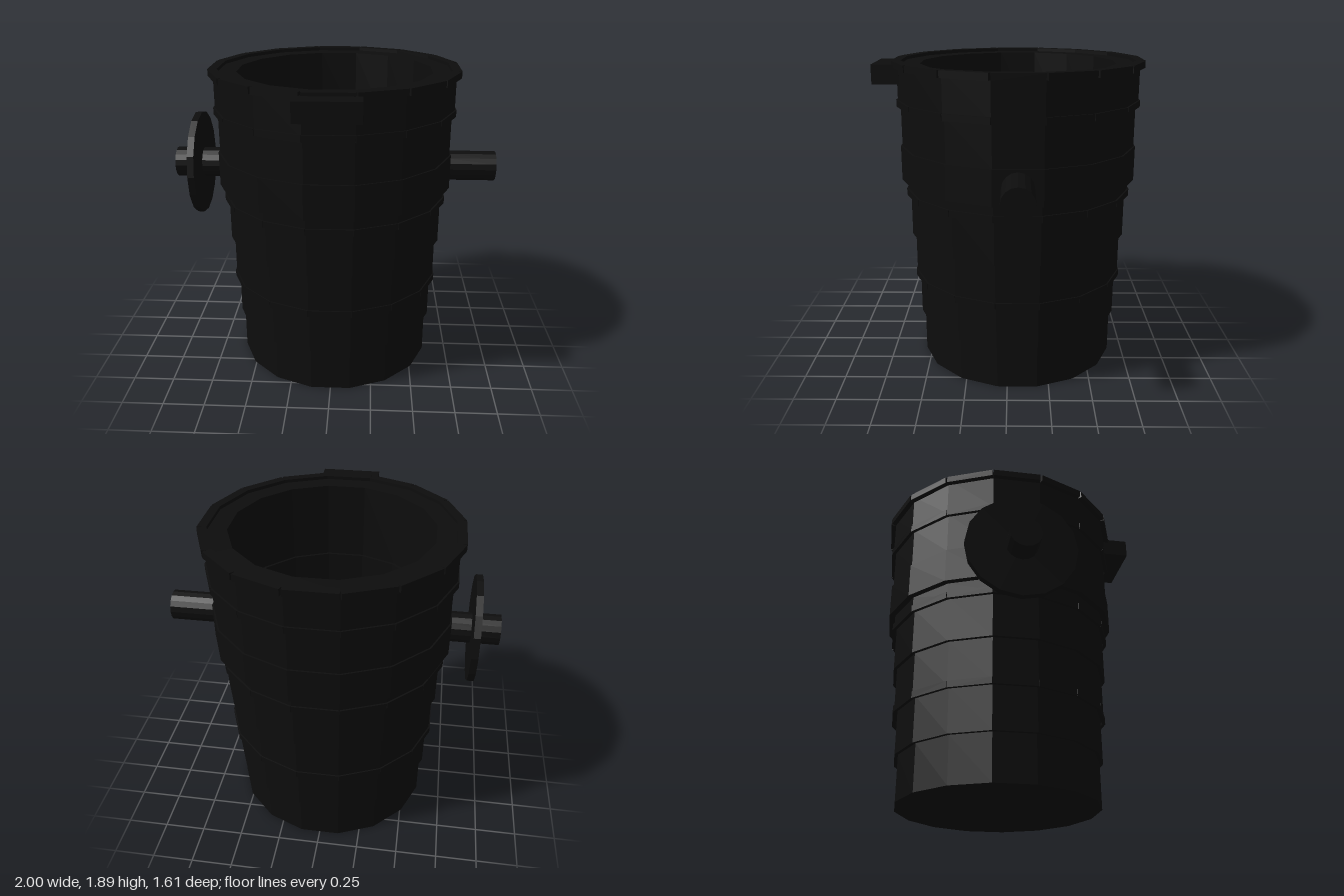
import * as THREE from 'three';

const SIDES = 16;
const HALF = Math.PI / SIDES;
const CENTER_Z = -0.06;
const AXLE_Y = 1.273;

export function createModel() {
  const group = new THREE.Group();
  const iron = new THREE.MeshStandardMaterial({ color: 0x0d0d0d, flatShading: true });
  iron.name = 'blackIron';

  const add = (name, geometry, x, y, z, parent = group) => {
    const mesh = new THREE.Mesh(geometry, iron);
    mesh.name = name;
    mesh.position.set(x, y, z);
    parent.add(mesh);
    return mesh;
  };

  // Stepped sixteen-sided shell with a hollow interior: [apothem, y]
  const profile = [
    [0, 0], [0.60, 0], [0.60, 0.275], [0.62, 0.275], [0.62, 0.55],
    [0.64, 0.55], [0.64, 0.81], [0.66, 0.81], [0.66, 1.09],
    [0.675, 1.09], [0.675, 1.17], [0.71, 1.17], [0.71, 1.38],
    [0.70, 1.38], [0.70, 1.64], [0.715, 1.64], [0.715, 1.89],
    [0.69, 1.89], [0.69, 1.87], [0.58, 1.87], [0.58, 1.40],
    [0.565, 1.40], [0.565, 0.81], [0.54, 0.81], [0.54, 0.10], [0, 0.10],
  ].map(([a, y]) => new THREE.Vector2(a / Math.cos(HALF), y));
  add('shell', new THREE.LatheGeometry(profile, SIDES, HALF), 0, 0, CENTER_Z);

  // Bands made of one plate per facet, leaving small notches at the corners
  const band = (name, y0, y1, inner, outer) => {
    const ring = new THREE.Group();
    ring.name = name;
    ring.position.z = CENTER_Z;
    const depth = outer - inner + 0.01;
    const plate = new THREE.BoxGeometry(2 * inner * Math.tan(HALF), y1 - y0, depth);
    for (let i = 0; i < SIDES; i++) {
      const a = i * 2 * HALF;
      const r = outer - depth / 2;
      const mesh = add(name + 'Plate', plate, Math.sin(a) * r, (y0 + y1) / 2, Math.cos(a) * r, ring);
      mesh.rotation.y = a;
    }
    group.add(ring);
  };
  band('lowerBand', 0.53, 0.57, 0.64, 0.648);
  band('middleBand', 1.07, 1.11, 0.675, 0.685);
  band('upperBand', 1.62, 1.66, 0.715, 0.725);
  band('rim', 1.85, 1.89, 0.715, 0.745);

  // Axle stubs on both sides
  const stub = new THREE.CylinderGeometry(0.092, 0.092, 0.31, 16);
  for (const side of [-1, 1]) {
    const mesh = add(side > 0 ? 'leftAxle' : 'rightAxle', stub, side * 0.845, AXLE_Y, CENTER_Z);
    mesh.rotation.z = Math.PI / 2;
  }

  // Hand wheel disc on the right axle
  const wheel = add('wheel', new THREE.CylinderGeometry(0.32, 0.32, 0.04, 16), -0.85, AXLE_Y, CENTER_Z);
  wheel.rotation.z = Math.PI / 2;

  // Pouring lip at the front
  add('spout', new THREE.BoxGeometry(0.36, 0.115, 0.16), 0, 1.8125, 0.72);

  return group;
}
